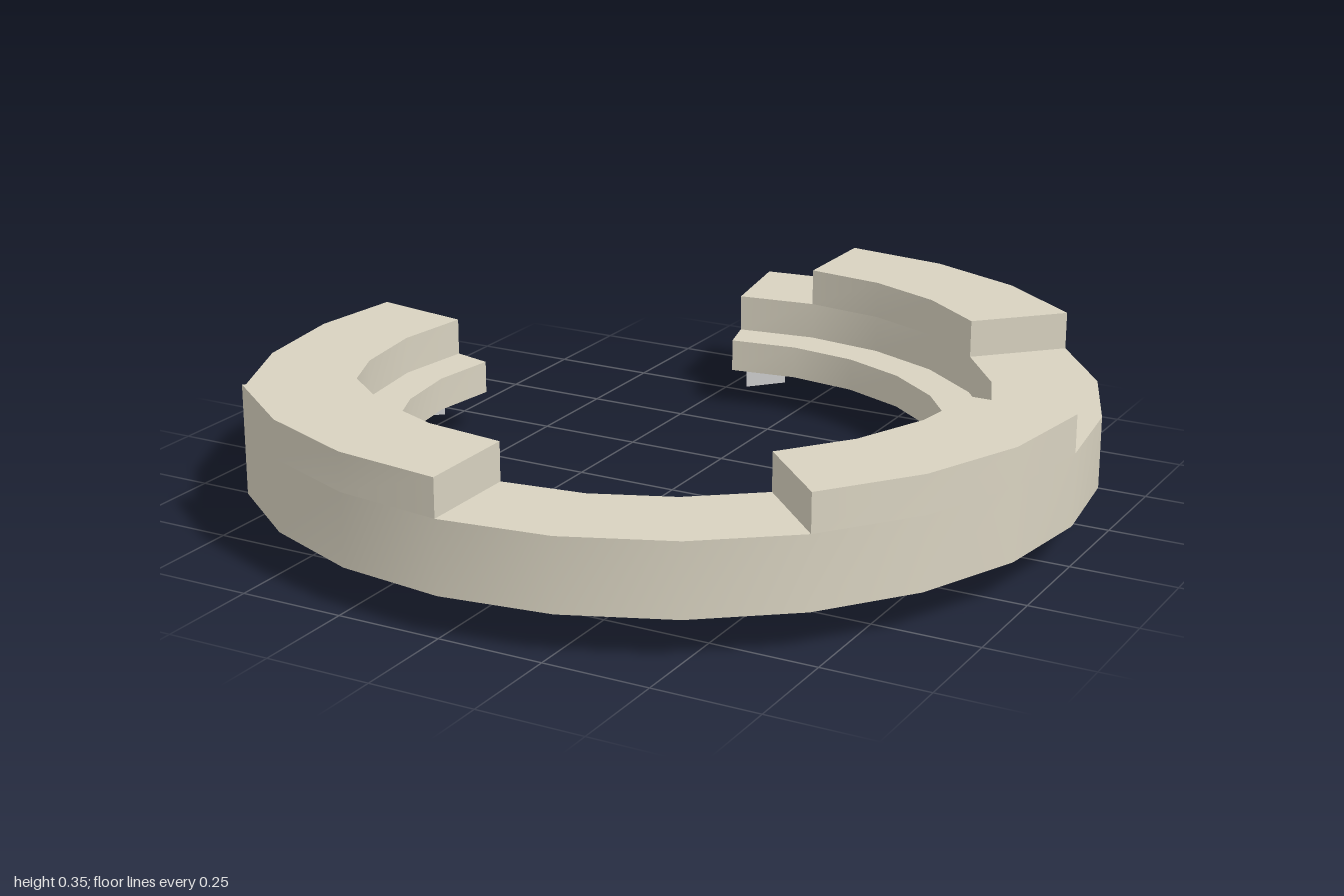
import * as THREE from 'three';

const BEIGE = new THREE.MeshStandardMaterial({ color: 0xd8d2c0 });
const GREY = new THREE.MeshStandardMaterial({ color: 0xcccccc });

// Radii and heights of the stepped ring
const OUTER = 1, MID = 0.75, INNER = 0.65;
const BASE = 0.095, LEDGE = 0.175, LOW = 0.265, HIGH = 0.355;
const START = 105, END = -195, STEP = 15;

// Point on the ring; the outer corners of the open ends are trimmed slightly
function point(r, deg, y) {
  let d = deg;
  if (r === OUTER && deg === START) d -= 1.3;
  if (r === OUTER && deg === END) d += 1.3;
  const a = THREE.MathUtils.degToRad(d);
  return new THREE.Vector3(r * Math.cos(a), y, -r * Math.sin(a));
}

function arc(r, y, from = START, to = END) {
  const pts = [];
  for (let d = from; d >= to; d -= STEP) pts.push(point(r, d, y));
  return pts;
}

// Surface between two rows of points
function strip(a, b) {
  const n = a.length, index = [];
  for (let i = 0; i < n - 1; i++) index.push(i, i + 1, n + i + 1, i, n + i + 1, n + i);
  const g = new THREE.BufferGeometry().setFromPoints([...a, ...b]);
  g.setIndex(index);
  g.computeVertexNormals();
  return g;
}

// Upright rectangle standing on the line p to q
function wall(p, q, y0, y1) {
  const at = (v, y) => new THREE.Vector3(v.x, y, v.z);
  return strip([at(p, y0), at(q, y0)], [at(p, y1), at(q, y1)]);
}

export function createModel() {
  const model = new THREE.Group();
  const add = (parent, name, geometry, material = BEIGE) => {
    const mesh = new THREE.Mesh(geometry, material);
    mesh.name = name;
    parent.add(mesh);
  };
  const group = (name) => {
    const g = new THREE.Group();
    g.name = name;
    model.add(g);
    return g;
  };

  // Open ring body with an inner ledge
  const body = group('ringBody');
  add(body, 'outerWall', strip(arc(OUTER, LOW), arc(OUTER, BASE)));
  add(body, 'ledgeWall', strip(arc(INNER, BASE), arc(INNER, LEDGE)));
  add(body, 'ledgeTop', strip(arc(INNER, LEDGE), arc(MID, LEDGE)));
  add(body, 'innerWall', strip(arc(MID, LEDGE), arc(MID, LOW)));
  add(body, 'underside', strip(arc(OUTER, BASE), arc(INNER, BASE)), GREY);

  // Low sectors of the rim
  for (const [from, to] of [[START, 90], [45, 0], [-45, -90], [-135, END]])
    add(body, 'lowRimTop', strip(arc(MID, LOW, from, to), arc(OUTER, LOW, from, to)));

  // Raised sectors of the rim
  for (const [from, to] of [[90, 45], [0, -45], [-90, -135]]) {
    const raised = group('raisedRim');
    const row = (r, y) => arc(r, y, from, to);
    add(raised, 'raisedTop', strip(row(MID, HIGH), row(OUTER, HIGH)));
    add(raised, 'raisedOuterWall', strip(row(OUTER, HIGH), row(OUTER, LOW)));
    add(raised, 'raisedInnerWall', strip(row(MID, LOW), row(MID, HIGH)));
    add(raised, 'stepFace', wall(point(OUTER, from, 0), point(MID, from, 0), LOW, HIGH));
    add(raised, 'stepFace', wall(point(MID, to, 0), point(OUTER, to, 0), LOW, HIGH));
  }

  // Open ends, each with a triangular foot
  for (const deg of [START, END]) {
    const end = group(deg === START ? 'backEnd' : 'sideEnd');
    const order = (a, b) => (deg === START ? [a, b] : [b, a]);
    const o = point(OUTER, deg, 0), m = point(MID, deg, 0), i = point(INNER, deg, 0);
    add(end, 'endFace', wall(...order(o, m), BASE, LOW));
    add(end, 'ledgeEndFace', wall(...order(m, i), BASE, LEDGE));

    const [p, q] = order(o, o.clone().lerp(m, 0.78));
    const tip = deg === START ? new THREE.Vector3(-0.13, 0, -0.86) : new THREE.Vector3(-0.86, 0, -0.13);
    add(end, 'footEndFace', wall(p, q, 0, BASE));
    add(end, 'footSide', wall(q, tip, 0, BASE), GREY);
    add(end, 'footSide', wall(tip, p, 0, BASE), GREY);
    const sole = new THREE.BufferGeometry().setFromPoints([q, p, tip]);
    sole.computeVertexNormals();
    add(end, 'footSole', sole, GREY);
  }
  return model;
}
